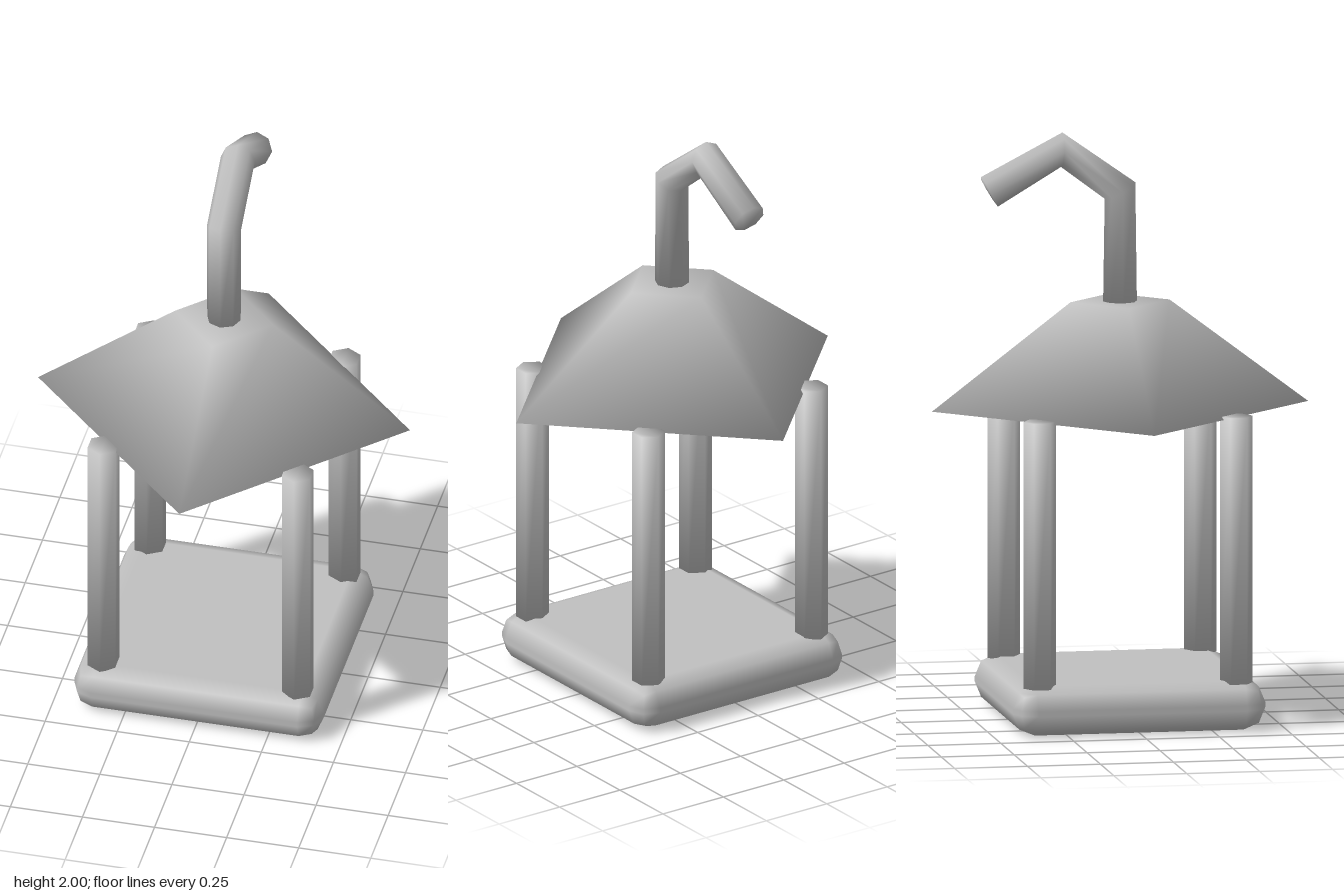
import * as THREE from 'three';
import { RoundedBoxGeometry } from 'three/addons/geometries/RoundedBoxGeometry.js';

export function createModel() {
  const model = new THREE.Group();
  model.name = 'lantern';

  const grey = new THREE.MeshStandardMaterial({ color: 0xc0c0c0 });
  grey.name = 'grey';

  const add = (name, geometry, x = 0, y = 0, z = 0) => {
    const mesh = new THREE.Mesh(geometry, grey);
    mesh.name = name;
    mesh.position.set(x, y, z);
    model.add(mesh);
  };

  // Base slab with rounded edges
  add('base', new RoundedBoxGeometry(0.865, 0.168, 0.865, 1, 0.075), 0, 0.086, 0);

  // Four six-sided posts
  const post = loft([ring(0, 0.16, 0, 0.056, 6), ring(0, 1.07, 0, 0.056, 6)]);
  for (const x of [-0.337, 0.337]) {
    for (const z of [-0.337, 0.337]) add('post', post, x, 0, z);
  }

  // Closed four-sided roof with its corners on the x and z axes
  add('roof', loft([ring(0, 1.06, 0, 0.645, 4), ring(0, 1.42, 0, 0.17, 4)]));

  // Bent hook; each ring leans (in radians) halfway through its bend
  add('hook', loft([
    ring(0, 1.41, 0, 0.058, 8),
    ring(0, 1.797, 0, 0.059, 8, -0.47),
    ring(0, 1.942, -0.2, 0.059, 8, -1.53),
    ring(0, 1.805, -0.448, 0.059, 8, -2.09),
  ]));

  return model;
}

// Polygon facing up, leaned about the x axis and moved into place
function ring(x, y, z, radius, sides, lean = 0) {
  return Array.from({ length: sides }, (_, s) => {
    const a = Math.PI / 2 + (s / sides) * Math.PI * 2;
    return new THREE.Vector3(Math.cos(a) * radius, 0, -Math.sin(a) * radius)
      .applyAxisAngle(new THREE.Vector3(1, 0, 0), lean)
      .add(new THREE.Vector3(x, y, z));
  });
}

// Closed skin over a row of rings, smooth across every edge, caps included
function loft(rings) {
  const sides = rings[0].length;
  const points = rings.flat();
  const triangles = [];
  // Walls
  for (let i = 0; i < rings.length - 1; i++) {
    for (let s = 0; s < sides; s++) {
      const t = (s + 1) % sides;
      const a = i * sides + s, b = i * sides + t;
      triangles.push([a, b, b + sides], [a, b + sides, a + sides]);
    }
  }
  // End caps
  const top = points.length - sides;
  for (let s = 1; s < sides - 1; s++) {
    triangles.push([0, s + 1, s], [top, top + s, top + s + 1]);
  }

  // Normals weighted by the corner angle of each face
  const normals = points.map(() => new THREE.Vector3());
  for (const tri of triangles) {
    for (let k = 0; k < 3; k++) {
      const u = points[tri[(k + 1) % 3]].clone().sub(points[tri[k]]);
      const v = points[tri[(k + 2) % 3]].clone().sub(points[tri[k]]);
      const faceNormal = new THREE.Vector3().crossVectors(u, v).normalize();
      normals[tri[k]].addScaledVector(faceNormal, u.angleTo(v));
    }
  }
  normals.forEach((n) => n.normalize());

  const flat = (vectors) =>
    new THREE.Float32BufferAttribute(vectors.flatMap((v) => v.toArray()), 3);
  const geometry = new THREE.BufferGeometry();
  geometry.setAttribute('position', flat(points));
  geometry.setAttribute('normal', flat(normals));
  geometry.setIndex(triangles.flat());
  return geometry;
}
